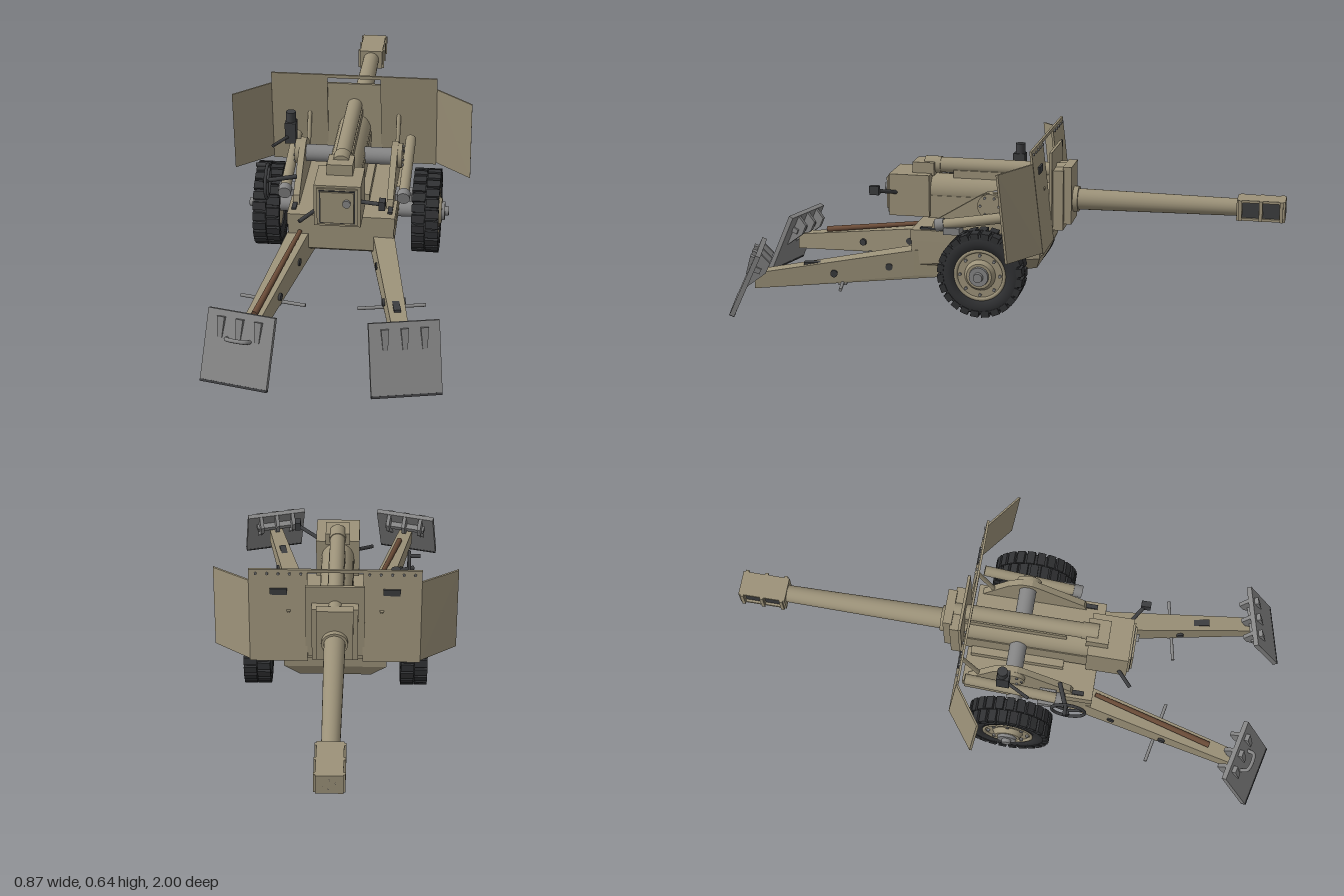
import * as THREE from 'three';
import { ConvexGeometry } from 'three/addons/geometries/ConvexGeometry.js';

const V = (x, y, z) => new THREE.Vector3(x, y, z);
const mat = (color) => new THREE.MeshStandardMaterial({ color });
const tan = mat(0x9c9279), grey = mat(0x858585), dark = mat(0x3c3d3f), rubber = mat(0x303133), wood = mat(0x6b4c38);

export function createModel() {
  const root = new THREE.Group();
  root.name = 'fieldGun';

  const add = (name, geo, m, pos = [0, 0, 0], parent = root) => {
    const mesh = new THREE.Mesh(geo, m);
    mesh.name = name;
    mesh.position.set(...pos);
    parent.add(mesh);
    return mesh;
  };
  const box = (name, m, x0, x1, y0, y1, z0, z1, parent) =>
    add(name, new THREE.BoxGeometry(x1 - x0, y1 - y0, z1 - z0), m,
      [(x0 + x1) / 2, (y0 + y1) / 2, (z0 + z1) / 2], parent);
  // round bar from a to b
  const rod = (name, m, a, b, r0, r1 = r0, parent = root, sides = 24) => {
    const p = V(...a), d = V(...b).sub(p);
    const mesh = add(name, new THREE.CylinderGeometry(r1, r0, d.length(), sides), m, [0, 0, 0], parent);
    mesh.position.copy(p).addScaledVector(d, 0.5);
    mesh.quaternion.setFromUnitVectors(V(0, 1, 0), d.normalize());
    return mesh;
  };
  const hull = (name, m, pts, parent) => add(name, new ConvexGeometry(pts.map((p) => V(...p))), m, [0, 0, 0], parent);
  // flat plate through (x, y, z) corners, thickened along z
  const plate = (name, m, pts, t) => hull(name, m, pts.flatMap(([x, y, z]) => [[x, y, z], [x, y, z + t]]));

  // ---- barrel and muzzle brake
  const by = 0.4;
  rod('barrel', tan, [0, by, -0.2], [0, by, -0.84], 0.039, 0.031);
  rod('barrelJacket', tan, [0, 0.41, 0.3], [0, 0.41, -0.2], 0.06);
  rod('muzzleCore', dark, [0, by, -0.83], [0, by, -0.985], 0.024);
  const brake = new THREE.Shape([[-0.085, -0.037], [0.085, -0.037], [0.085, 0.037], [-0.085, 0.037]].map((p) => new THREE.Vector2(...p)));
  for (const c of [-0.036, 0.036]) {
    brake.holes.push(new THREE.Path([[c - 0.029, -0.028], [c - 0.029, 0.028], [c + 0.029, 0.028], [c + 0.029, -0.028]].map((p) => new THREE.Vector2(...p))));
  }
  const brakeGeo = new THREE.ExtrudeGeometry(brake, { depth: 0.09, bevelEnabled: false });
  brakeGeo.translate(0, 0, -0.045).rotateY(Math.PI / 2);
  add('muzzleBrake', brakeGeo, tan, [0, by, -0.915]);
  box('muzzleInnerBlock', dark, -0.036, 0.036, by - 0.03, by + 0.03, -0.99, -0.84);
  rod('bore', dark, [0, by, -0.995], [0, by, -1.0], 0.022);
  for (const s of [-1, 1]) for (const z of [-0.915, -0.843, -0.987])
    box('muzzleRib', tan, s * 0.047 - 0.005, s * 0.047 + 0.005, by - 0.037, by + 0.037, z - 0.006, z + 0.006);

  // ---- cradle, recoil cylinder and front collar
  box('cradle', tan, -0.062, 0.062, 0.315, 0.4, -0.17, 0.29);
  rod('recoilCylinder', tan, [0, 0.503, 0.27], [0, 0.503, -0.21], 0.028);
  box('recoilSaddle', tan, -0.03, 0.03, 0.45, 0.49, -0.18, 0.2);
  box('recoilEndBlock', tan, -0.045, 0.045, 0.47, 0.518, 0.27, 0.35);
  rod('recoilCap', tan, [0, 0.503, 0.25], [0, 0.503, 0.31], 0.031);
  box('collar', tan, -0.082, 0.082, 0.3, 0.52, -0.215, -0.17);
  box('collarFace', tan, -0.065, 0.065, 0.32, 0.53, -0.242, -0.21);
  rod('barrelRing', tan, [0, by, -0.23], [0, by, -0.26], 0.047);

  // ---- breech
  box('breech', tan, -0.081, 0.081, 0.323, 0.478, 0.28, 0.43);
  box('breechFrame', tan, -0.07, 0.07, 0.332, 0.47, 0.43, 0.437);
  box('breechDoorSeam', dark, -0.062, 0.062, 0.338, 0.464, 0.436, 0.439);
  box('breechDoor', tan, -0.058, 0.058, 0.342, 0.46, 0.436, 0.445);
  rod('firingKnob', grey, [0.034, 0.421, 0.44], [0.034, 0.421, 0.455], 0.014);
  rod('breechLever', dark, [0.07, 0.408, 0.4], [0.158, 0.432, 0.46], 0.007);
  box('breechGrip', dark, 0.146, 0.168, 0.418, 0.45, 0.445, 0.48);
  rod('breechCatch', dark, [-0.08, 0.365, 0.4], [-0.13, 0.345, 0.45], 0.007);

  // ---- lower carriage
  hull('carriageBody', tan, [-1, 1].flatMap((s) => [
    [s * 0.187, 0.265, -0.15], [s * 0.187, 0.265, 0.32], [s * 0.185, 0.22, -0.15], [s * 0.185, 0.17, 0.32],
    [s * 0.13, 0.17, -0.13], [s * 0.11, 0.155, 0.3], [s * 0.11, 0.155, -0.08]]));
  box('carriageDeck', tan, -0.19, 0.19, 0.262, 0.303, -0.155, 0.322);
  rod('axle', grey, [-0.33, 0.19, 0.036], [0.33, 0.19, 0.036], 0.028);
  box('turntable', tan, -0.09, 0.09, 0.3, 0.33, -0.14, 0.2);

  for (const s of [-1, 1]) {
    // cheek plates, trunnions and balancing tubes
    const cheek = [[0.3, 0.25], [0.335, 0.24], [0.435, 0.075], [0.45, 0.045], [0.45, 0.005], [0.42, -0.04], [0.3, -0.14]];
    hull('cheek', tan, cheek.flatMap(([y, z]) => [[s * 0.155, y, z], [s * 0.178, y, z]]));
    rod('trunnion', grey, [s * 0.05, 0.4, 0.03], [s * 0.155, 0.4, 0.03], 0.031);
    rod('trunnionCap', tan, [s * 0.175, 0.405, 0.03], [s * 0.194, 0.405, 0.03], 0.045);
    for (let i = 0; i < 6; i++) {
      const a = i * Math.PI / 3;
      const y = 0.405 + 0.034 * Math.sin(a), z = 0.03 + 0.034 * Math.cos(a);
      rod('capBolt', grey, [s * 0.19, y, z], [s * 0.199, y, z], 0.005, 0.005, root, 6);
    }
    rod('balanceTube', tan, [s * 0.212, 0.335, 0.2], [s * 0.212, 0.39, -0.14], 0.019);
    rod('balanceTubeEnd', grey, [s * 0.212, 0.331, 0.222], [s * 0.212, 0.337, 0.19], 0.023);
    box('balanceBracket', grey, s * 0.21 - 0.03, s * 0.21 + 0.03, 0.305, 0.33, 0.13, 0.19);
    box('deckRail', dark, s * 0.17 - 0.008, s * 0.17 + 0.008, 0.3, 0.31, 0.02, 0.29);

    // shield side panel and angled wing
    plate('shieldPanel', tan, [[s * 0.098, 0.637, -0.135], [s * 0.305, 0.637, -0.135], [s * 0.305, 0.27, -0.177], [s * 0.098, 0.27, -0.177]], -0.008);
    plate('shieldWing', tan, [[s * 0.305, 0.593, -0.139], [s * 0.437, 0.582, -0.045], [s * 0.437, 0.27, -0.077], [s * 0.305, 0.278, -0.176]], -0.008);
    box('visionSlot', dark, s * 0.2 - 0.03, s * 0.2 + 0.03, 0.54, 0.565, -0.158, -0.15);
    for (let i = 0; i < 5; i++)
      rod('shieldBolt', grey, [s * (0.12 + i * 0.04), 0.622, -0.142], [s * (0.12 + i * 0.04), 0.622, -0.15], 0.005, 0.005, root, 6);
    rod('shieldStay', tan, [s * 0.165, 0.33, -0.09], [s * 0.165, 0.48, -0.16], 0.008);

    makeWheel(s);
    makeTrail(s);
  }

  // ---- shield centre
  box('shieldCentre', tan, -0.105, 0.105, 0.29, 0.59, -0.178, -0.168);
  box('shieldTopBar', tan, -0.1, 0.1, 0.625, 0.637, -0.143, -0.135);

  // ---- sight and handwheel on the right side
  box('sightBody', dark, -0.235, -0.195, 0.43, 0.51, -0.02, 0.025);
  rod('sightHead', dark, [-0.215, 0.51, 0], [-0.215, 0.547, 0], 0.018);
  rod('sightArm', dark, [-0.18, 0.42, 0.01], [-0.215, 0.445, 0.01], 0.01);
  const wheelAt = [-0.268, 0.388, 0.245];
  add('handwheelRim', new THREE.TorusGeometry(0.06, 0.006, 8, 28).rotateY(Math.PI / 2), dark, wheelAt);
  for (let i = 0; i < 3; i++) {
    const a = i * Math.PI * 2 / 3 + 0.5;
    rod('handwheelSpoke', dark, wheelAt, [-0.268, 0.388 + 0.06 * Math.sin(a), 0.245 + 0.06 * Math.cos(a)], 0.005);
  }
  rod('handwheelShaft', dark, [-0.285, 0.388, 0.245], [-0.17, 0.388, 0.2], 0.008);
  rod('handwheelGrip', dark, [-0.268, 0.447, 0.235], [-0.308, 0.447, 0.235], 0.007);
  rod('sightLink', dark, [-0.268, 0.455, 0.1], [-0.225, 0.455, 0.02], 0.006);

  // tyre with two staggered rows of tread blocks, rim and hub; +x is outward
  function makeWheel(s) {
    const w = new THREE.Group();
    w.name = 'wheel';
    w.position.set(s * 0.287, 0.19, 0.036);
    w.rotation.y = s > 0 ? 0 : Math.PI;
    root.add(w);
    const profile = [[0.088, -0.04], [0.115, -0.047], [0.138, -0.044], [0.144, -0.036], [0.144, 0.036], [0.138, 0.044], [0.115, 0.047], [0.088, 0.04], [0.088, -0.04]];
    const tyre = new THREE.LatheGeometry(profile.map((p) => new THREE.Vector2(...p)), 40).rotateZ(-Math.PI / 2);
    add('tyre', tyre, rubber, [0, 0, 0], w);
    for (let i = 0; i < 48; i++) {
      const a = i * Math.PI / 24, side = i % 2 ? 1 : -1;
      const b = add('treadBlock', new THREE.BoxGeometry(0.047, 0.022, 0.029), rubber,
        [side * 0.025, 0.142 * Math.cos(a), 0.142 * Math.sin(a)], w);
      b.rotation.x = a;
    }
    rod('rim', tan, [-0.035, 0, 0], [0.037, 0, 0], 0.092, 0.092, w, 40);
    add('rimLip', new THREE.TorusGeometry(0.088, 0.007, 8, 40).rotateY(Math.PI / 2), tan, [0.038, 0, 0], w);
    rod('hubPlate', tan, [0.03, 0, 0], [0.055, 0, 0], 0.06, 0.045, w);
    rod('hub', grey, [0.05, 0, 0], [0.066, 0, 0], 0.036, 0.034, w);
    rod('hubCap', grey, [0.06, 0, 0], [0.08, 0, 0], 0.018, 0.016, w);
    for (let i = 0; i < 8; i++) {
      const a = i * Math.PI / 4, y = 0.072 * Math.cos(a), z = 0.072 * Math.sin(a);
      rod('wheelNut', grey, [0.034, y, z], [0.045, y, z], 0.006, 0.006, w, 6);
    }
  }

  // split trail leg with its spade, built along +z then swung outward
  function makeTrail(s) {
    const t = new THREE.Group();
    t.name = 'trail';
    t.position.set(s * 0.145, 0, 0.28);
    t.rotation.y = s * 0.2;
    root.add(t);
    hull('trailLeg', tan, [-1, 1].flatMap((k) => [
      [k * 0.038, 0.13, -0.12], [k * 0.038, 0.235, -0.12], [k * 0.037, 0.13, 0.04], [k * 0.037, 0.225, 0.04],
      [k * 0.026, 0.078, 0.62], [k * 0.026, 0.135, 0.62]]), t);
    rod('hingePin', grey, [0, 0.12, 0], [0, 0.25, 0], 0.025, 0.025, t);
    for (const [z, y] of [[0.13, 0.163], [0.33, 0.137]])
      rod('trailBolt', dark, [-0.04, y, z], [0.04, y, z], 0.013, 0.013, t);
    rod('liftingBar', grey, [-0.12, 0.1, 0.3], [0.115, 0.1, 0.3], 0.006, 0.006, t);
    box('barClamp', grey, -0.03, 0.03, 0.092, 0.12, 0.285, 0.315, t);
    if (s < 0) rod('handspike', wood, [0.012, 0.24, 0.05], [0.004, 0.163, 0.5], 0.008, 0.011, t);
    else box('trailStrap', dark, -0.012, 0.012, 0.155, 0.172, 0.34, 0.44, t);

    const sp = new THREE.Group();
    sp.name = 'spade';
    sp.position.set(0, 0.115, 0.645);
    sp.rotation.set(-0.43, s * 0.035, 0);
    t.add(sp);
    box('spadePlate', grey, -0.117, 0.117, -0.121, 0.121, -0.008, 0.01, sp);
    box('spadeEdge', dark, -0.117, 0.117, -0.124, -0.116, -0.009, 0.011, sp);
    for (const x of [-0.065, 0, 0.065]) {
      hull('spadeRib', grey, [-1, 1].flatMap((k) => [
        [x + k * 0.013, 0.1, 0.008], [x + k * 0.013, 0.1, 0.026], [x + k * 0.008, 0.03, 0.008], [x + k * 0.008, 0.03, 0.014]]), sp);
      hull('spadeBracket', grey, [-1, 1].flatMap((k) => [
        [x + k * 0.007, 0.12, -0.005], [x + k * 0.007, 0.1, -0.05], [x + k * 0.007, 0.06, -0.05], [x + k * 0.007, -0.02, -0.005]]), sp);
    }
    box('spadeCrossbar', grey, -0.08, 0.08, 0.05, 0.07, -0.03, -0.005, sp);
    if (s < 0) {
      const path = new THREE.CatmullRomCurve3([V(-0.04, 0.03, 0.008), V(-0.032, 0.03, 0.035), V(0.032, 0.03, 0.035), V(0.04, 0.03, 0.008)]);
      add('spadeHandle', new THREE.TubeGeometry(path, 20, 0.007, 8), grey, [0, 0, 0], sp);
    }
  }
  return root;
}
